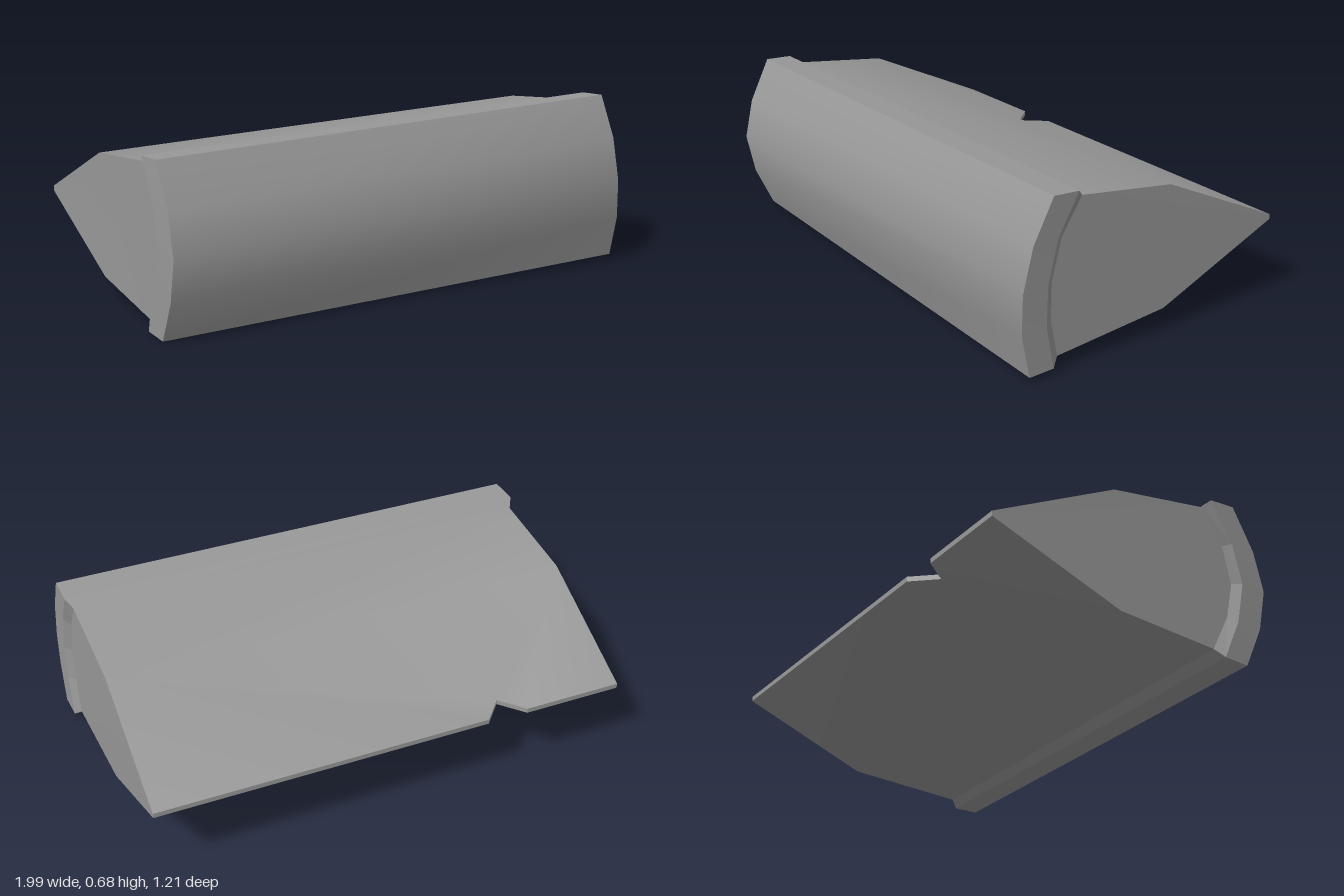
import * as THREE from 'three';
import { toCreasedNormals } from 'three/addons/utils/BufferGeometryUtils.js';

// Profiles as [z, y] at the right end (-x) and the left end (+x), bottom to top.
const RIGHT = {
  face: [[0.495, 0], [0.572, 0.165], [0.607, 0.33], [0.57, 0.49], [0.485, 0.66]],
  shoulder: [[0.388, 0.005], [0.462, 0.165], [0.497, 0.33], [0.46, 0.49], [0.372, 0.652]],
  neck: [[0.352, 0.037], [0.428, 0.185], [0.46, 0.33], [0.428, 0.48], [0.337, 0.622]],
  wedge: [[-0.07, 0.567], [-0.592, 0.318], [-0.592, 0.298], [-0.062, 0.08]],
};
const LEFT = {
  face: [[0.558, 0.023], [0.593, 0.19], [0.59, 0.346], [0.548, 0.515], [0.463, 0.678]],
  shoulder: [[0.45, 0.023], [0.483, 0.19], [0.48, 0.346], [0.44, 0.515], [0.352, 0.669]],
  neck: [[0.417, 0.052], [0.447, 0.2], [0.445, 0.35], [0.405, 0.505], [0.32, 0.638]],
  wedge: [[-0.09, 0.58], [-0.607, 0.336], [-0.607, 0.316], [-0.08, 0.092]],
};
// x of each profile at the two ends
const ENDS = {
  face: [-0.991, 0.996], shoulder: [-0.998, 0.992], neck: [-0.977, 0.968], wedge: [-0.98, 0.964],
};
const NOTCH = { x: [-0.57, -0.485, -0.4], z: -0.5 };
const INSIDE = new THREE.Vector3(NOTCH.x[1], 0.33, 0.1);

// Collects triangles, turning each one to face away from the inside point
function surface() {
  const out = [];
  const tri = (a, b, c) => {
    const n = b.clone().sub(a).cross(c.clone().sub(a));
    const list = n.dot(a.clone().sub(INSIDE)) < 0 ? [a, c, b] : [a, b, c];
    list.forEach((p) => out.push(p.x, p.y, p.z));
  };
  const strip = (p, q) => {
    for (let i = 0; i < p.length - 1; i++) {
      tri(p[i], p[i + 1], q[i + 1]);
      tri(p[i], q[i + 1], q[i]);
    }
  };
  const fan = (p) => {
    for (let i = 1; i < p.length - 1; i++) tri(p[0], p[i], p[i + 1]);
  };
  const mesh = (name, crease) => {
    const g = new THREE.BufferGeometry();
    g.setAttribute('position', new THREE.Float32BufferAttribute(out, 3));
    const m = new THREE.Mesh(toCreasedNormals(g, crease),
      new THREE.MeshStandardMaterial({ color: 0x999999 }));
    m.name = name;
    return m;
  };
  return { strip, fan, mesh };
}

// A named profile at x, blended between the two ends
function section(name, x) {
  const [x0, x1] = ENDS[name];
  const t = (x - x0) / (x1 - x0);
  return RIGHT[name].map(([z, y], i) => new THREE.Vector3(x,
    THREE.MathUtils.lerp(y, LEFT[name][i][1], t),
    THREE.MathUtils.lerp(z, LEFT[name][i][0], t)));
}

const bothEnds = (name) => ENDS[name].map((x) => section(name, x));

// Closed outline running up the right end and down the left end
function ring(name) {
  const [r, l] = bothEnds(name);
  return [...r, ...l.reverse(), r[0]];
}

// Curved front face and its rim
function makeCap() {
  const s = surface();
  s.strip(...bothEnds('face'));
  s.strip(ring('face'), ring('shoulder'));
  return s.mesh('curvedCap', 0.48);
}

// Faceted slope from the rim down to the wedge
function makeBevel() {
  const s = surface();
  s.strip(ring('shoulder'), ring('neck'));
  return s.mesh('capBevel', 0.05);
}

// Tapering wedge with a small dent in its thin rear edge
function makeWedge() {
  const s = surface();
  const necks = bothEnds('neck');
  const wedges = bothEnds('wedge');
  const edge = [ENDS.wedge[0], ...NOTCH.x, ENDS.wedge[1]].map((x) => section('wedge', x));
  edge[2][1].z = edge[2][2].z = NOTCH.z;

  // Upper and lower sides: [neck corner, ridge, rear edge]
  for (const [n, r, e] of [[4, 0, 1], [0, 3, 2]]) {
    const [r0, r1] = wedges.map((w) => w[r]);
    const rear = edge.map((p) => p[e]);
    s.strip([necks[0][n], r0], [necks[1][n], r1]);
    s.fan([r0, ...rear.slice(0, 3)]);
    s.fan([r0, rear[2], r1]);
    s.fan([r1, ...rear.slice(2)]);
  }
  // Thin rear edge and the two end faces
  s.strip(edge.map((p) => p[1]), edge.map((p) => p[2]));
  necks.forEach((neck, i) => s.fan([neck[4], ...wedges[i], ...neck.slice(0, 4)]));
  return s.mesh('wedgeBody', 0.48);
}

export function createModel() {
  const group = new THREE.Group();
  group.name = 'wedgeBlock';
  group.add(makeCap(), makeBevel(), makeWedge());
  return group;
}
